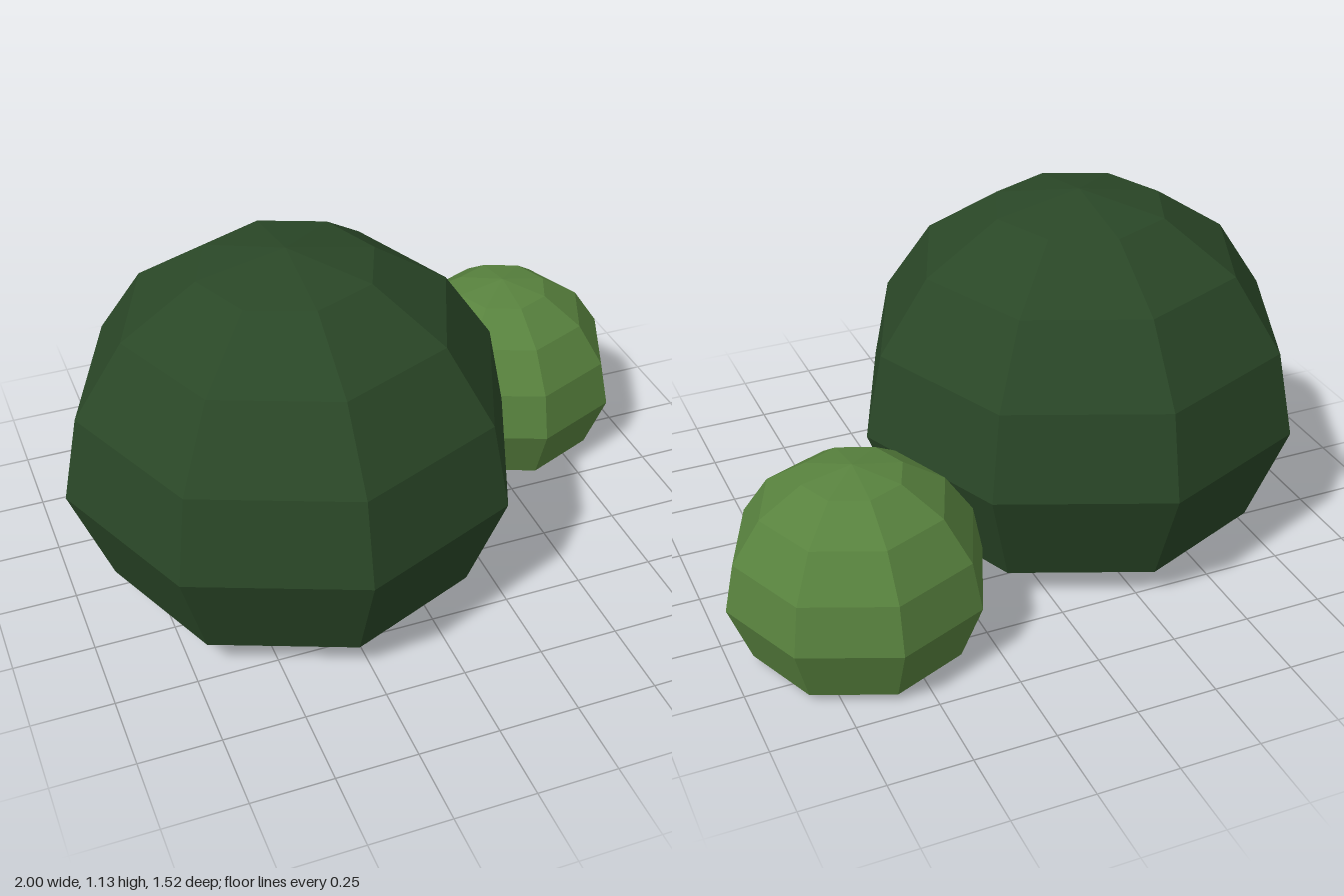
import * as THREE from 'three';

// Unit bush: an eight-sided faceted dome over a tucked-in, nearly flat underside
function bushGeometry() {
  const profile = [
    new THREE.Vector2(0, -0.521),
    new THREE.Vector2(0.383, -0.495),
    new THREE.Vector2(0.827, -0.458),
  ];
  for (let i = 0; i <= 4; i++) {
    const a = (i * Math.PI) / 8;
    profile.push(new THREE.Vector2(i === 4 ? 0 : Math.cos(a), Math.sin(a)));
  }
  return new THREE.LatheGeometry(profile, 8);
}

function addBush(group, name, color, radius, x, y, z) {
  const material = new THREE.MeshStandardMaterial({ color, flatShading: true });
  const bush = new THREE.Mesh(bushGeometry(), material);
  bush.name = name;
  bush.scale.setScalar(radius);
  bush.position.set(x, y, z);
  group.add(bush);
}

export function createModel() {
  const group = new THREE.Group();
  group.name = 'bushes';
  addBush(group, 'largeBush', 0x2a4727, 0.711, -0.289, 0.426, 0.045);
  addBush(group, 'smallBush', 0x58823e, 0.397, 0.603, 0.21, -0.363);
  return group;
}
